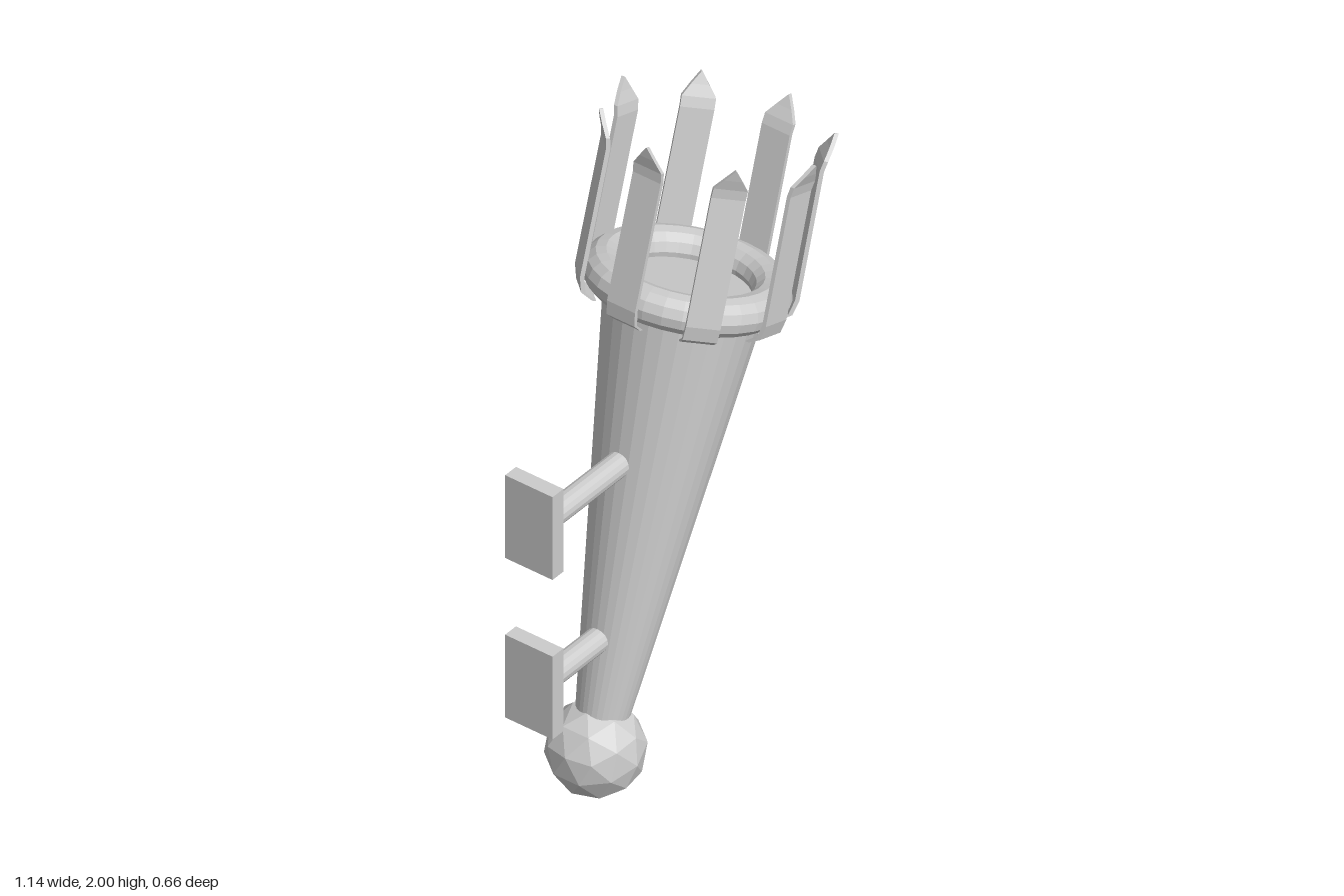
import * as THREE from 'three';

const material = new THREE.MeshStandardMaterial({ color: 0xcccccc, flatShading: true });

function part(name, geometry, parent, x = 0, y = 0, z = 0) {
  const mesh = new THREE.Mesh(geometry, material);
  mesh.name = name;
  mesh.position.set(x, y, z);
  parent.add(mesh);
  return mesh;
}

// Thin upright blade: rows of [radius from axis, height, half width]
function prongGeometry() {
  const rows = [
    [0.25, -0.068, 0.047], [0.283, -0.048, 0.047], [0.294, -0.005, 0.047],
    [0.292, 0.375, 0.047], [0.298, 0.405, 0.047], [0.311, 0.437, 0.025], [0.322, 0.47, 0.001],
  ];
  const n = rows.length - 1;
  const geometry = new THREE.BoxGeometry(0.012, n, 2, 1, n, 1);
  const p = geometry.attributes.position;
  for (let i = 0; i < p.count; i++) {
    const [radius, height, half] = rows[Math.round(p.getY(i) + n / 2)];
    p.setXYZ(i, radius + p.getX(i), height, p.getZ(i) * half);
  }
  geometry.computeVertexNormals();
  return geometry;
}

export function createModel() {
  const model = new THREE.Group();
  model.name = 'wallTorch';

  // Leaning torch, with its origin at the centre of the ball
  const torch = new THREE.Group();
  torch.name = 'torch';
  torch.position.set(-0.275, 0.14, 0);
  torch.rotation.z = THREE.MathUtils.degToRad(-16.8);
  model.add(torch);

  part('ballPommel', new THREE.IcosahedronGeometry(0.14, 1), torch);

  // Tapered handle
  const bottom = 0.05, top = 1.36;
  part('handle', new THREE.CylinderGeometry(0.224, 0.068, top - bottom, 32), torch, 0, (top + bottom) / 2);

  // Rim and the crown of prongs around it
  const crown = new THREE.Group();
  crown.name = 'crown';
  crown.position.y = 1.375;
  torch.add(crown);
  part('rim', new THREE.TorusGeometry(0.23, 0.055, 12, 32).rotateX(Math.PI / 2), crown);
  const blade = prongGeometry();
  for (let i = 0; i < 8; i++) {
    part('prong' + (i + 1), blade, crown).rotation.y = (i * Math.PI) / 4;
  }

  // Wall brackets: plate and post, the post ending inside the handle
  const brackets = [['lower', 0.49, -0.17], ['upper', 1.02, -0.05]];
  for (const [name, y, end] of brackets) {
    part(name + 'WallPlate', new THREE.BoxGeometry(0.047, 0.275, 0.16), model, -0.542, y + 0.02);
    const length = end + 0.53;
    const post = new THREE.CylinderGeometry(0.036, 0.036, length, 16).rotateZ(Math.PI / 2);
    part(name + 'Post', post, model, end - length / 2, y + 0.002);
  }

  return model;
}
